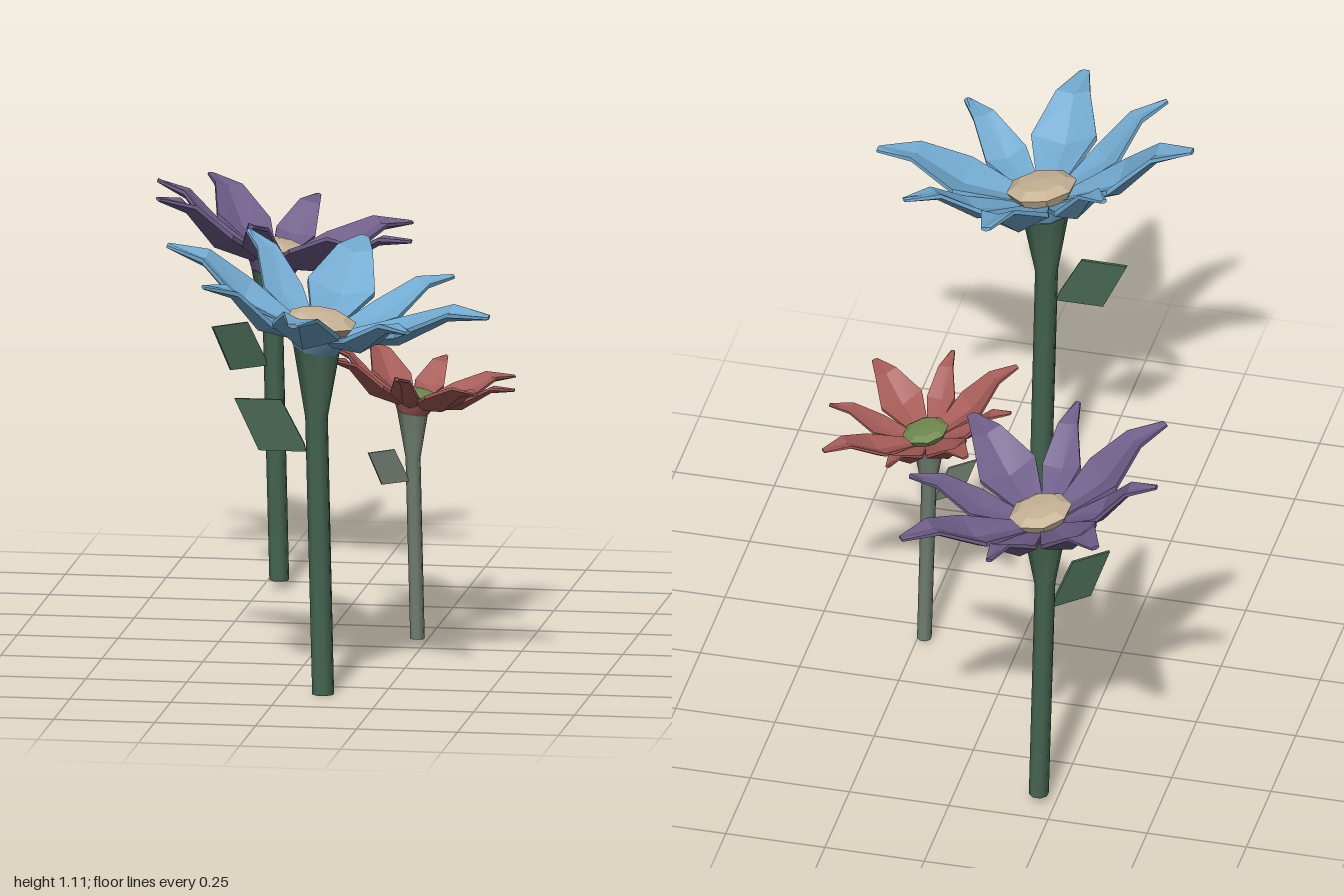
import * as THREE from 'three';
import { toCreasedNormals } from 'three/addons/utils/BufferGeometryUtils.js';

const LEAN = new THREE.Vector3(0.18, 1, 0.085).normalize();
const BLOOM = new THREE.Vector3(-0.015, 0.86, -0.008);
const rad = THREE.MathUtils.degToRad;

// Skin a list of equal-length rings (each counter-clockwise about the path) and cap both ends.
function loft(rings, crease) {
  const n = rings[0].length, pos = [], index = [];
  rings.forEach(ring => ring.forEach(p => pos.push(p.x, p.y, p.z)));
  for (let i = 0; i < rings.length - 1; i++) {
    for (let j = 0; j < n; j++) {
      const k = (j + 1) % n;
      const a = i * n + j, b = i * n + k, c = b + n, d = a + n;
      index.push(a, b, c, a, c, d);
    }
  }
  // Caps fan around the ring centres
  [0, rings.length - 1].forEach((i, end) => {
    const c = rings[i].reduce((s, p) => s.add(p), new THREE.Vector3()).divideScalar(n);
    const centre = pos.length / 3;
    pos.push(c.x, c.y, c.z);
    for (let j = 0; j < n; j++) {
      const a = i * n + j, b = i * n + (j + 1) % n;
      if (end) index.push(centre, a, b); else index.push(centre, b, a);
    }
  });
  const geo = new THREE.BufferGeometry();
  geo.setAttribute('position', new THREE.Float32BufferAttribute(pos, 3));
  geo.setIndex(index);
  return toCreasedNormals(geo, rad(crease));
}

// Slim stem that bends slightly and flares to meet the tilted bloom
function stemGeometry() {
  const up = new THREE.Vector3(0, 1, 0);
  const rows = [ // x, y, z, radius, share of the bloom's tilt
    [0.002, 0, 0, 0.0275, 0],
    [-0.015, 0.69, -0.004, 0.0285, 0.2],
    [BLOOM.x, BLOOM.y, BLOOM.z, 0.059, 0.9],
  ];
  return loft(rows.map(([x, y, z, r, tilt]) => {
    const q = new THREE.Quaternion().setFromUnitVectors(up, up.clone().lerp(LEAN, tilt).normalize());
    return Array.from({ length: 8 }, (_, j) => {
      const a = (j + 0.5) * Math.PI / 4;
      return new THREE.Vector3(Math.sin(a) * r, 0, Math.cos(a) * r)
        .applyQuaternion(q).add(new THREE.Vector3(x, y, z));
    });
  }), 50);
}

// Keeled petal along +x, widest near its middle, levelling off towards a blunt tip
function petalGeometry(length, width) {
  const rows = [ // distance, half width, keel height, rise of the edges, thickness
    [0.06, 0.034, 0.024, 0.018, 0.022],
    [0.2, 0.085, 0.054, 0.042, 0.028],
    [0.31, 0.044, 0.142, 0.022, 0.022],
    [0.408, 0.012, 0.168, 0.004, 0.012],
  ];
  return loft(rows.map(([d, w, h, rise, t]) => {
    const x = 0.06 + (d - 0.06) * length, hw = w * width, e = h + rise * width;
    return [
      [e + t * 0.5, -hw], [h + t, 0], [e + t * 0.5, hw],
      [e, hw], [h, 0], [e, -hw],
    ].map(([y, z]) => new THREE.Vector3(x, y, z));
  }), 20);
}

// Flat slanted leaf on one side of the stem
function leafGeometry() {
  const shape = new THREE.Shape([
    [-0.217, 0.731], [-0.157, 0.604], [-0.04, 0.604], [-0.045, 0.625], [-0.102, 0.732],
  ].map(p => new THREE.Vector2(...p)));
  const geo = new THREE.ExtrudeGeometry(shape, { depth: 0.008, bevelEnabled: false });
  return geo.translate(0, 0, -0.004);
}

function createFlower(name, colors) {
  const flower = new THREE.Group();
  flower.name = name;
  const add = (parent, part, geometry, material) => {
    const mesh = new THREE.Mesh(geometry, material);
    mesh.name = part;
    parent.add(mesh);
    return mesh;
  };
  const green = new THREE.MeshStandardMaterial({ color: colors.stem });
  const petalMat = new THREE.MeshStandardMaterial({ color: colors.petal });
  const centreMat = new THREE.MeshStandardMaterial({ color: colors.centre, flatShading: true });

  add(flower, 'stem', stemGeometry(), green);
  add(flower, 'leaf', leafGeometry(), green);

  const bloom = new THREE.Group();
  bloom.name = 'bloom';
  bloom.position.copy(BLOOM);
  bloom.quaternion.setFromUnitVectors(new THREE.Vector3(0, 1, 0), LEAN);
  flower.add(bloom);

  // Cup joining the petals to the stem
  const cup = new THREE.CylinderGeometry(0.084, 0.059, 0.046, 8);
  cup.rotateY(Math.PI / 8);
  add(bloom, 'cup', toCreasedNormals(cup, rad(50)), petalMat).position.y = 0.023;

  // Raised button-like centre
  const button = new THREE.LatheGeometry(
    [[0.07, 0.045], [0.088, 0.075], [0.06, 0.09], [0, 0.095]].map(p => new THREE.Vector2(...p)), 8);
  button.rotateY(Math.PI / 8);
  add(bloom, 'flowerCentre', button, centreMat);

  // Four wide petals alternating with four narrow ones
  const wide = petalGeometry(1, 1), narrow = petalGeometry(0.88, 0.66);
  for (let i = 0; i < 8; i++) {
    const petal = add(bloom, i % 2 ? 'narrowPetal' : 'widePetal', i % 2 ? narrow : wide, petalMat);
    petal.rotation.y = -rad(3 + i * 45);
  }
  return flower;
}

export function createModel() {
  const model = new THREE.Group();
  model.name = 'flowers';
  const flowers = [
    ['blueFlower', [0.1, 0, 0.59], 1, 0, { petal: 0x72aad0, stem: 0x466652, centre: 0xc8b496 }],
    ['purpleFlower', [-0.209, 0.02, -0.671], 0.893, 42, { petal: 0x6f5f8a, stem: 0x466652, centre: 0xc8b496 }],
    ['redFlower', [0.23, 0.01, -0.066], 0.655, 42, { petal: 0xa65c58, stem: 0x728072, centre: 0x6f8a4e }],
  ];
  for (const [name, position, scale, turn, colors] of flowers) {
    const flower = createFlower(name, colors);
    flower.position.set(...position);
    flower.scale.setScalar(scale);
    flower.rotation.y = rad(turn);
    model.add(flower);
  }
  return model;
}
